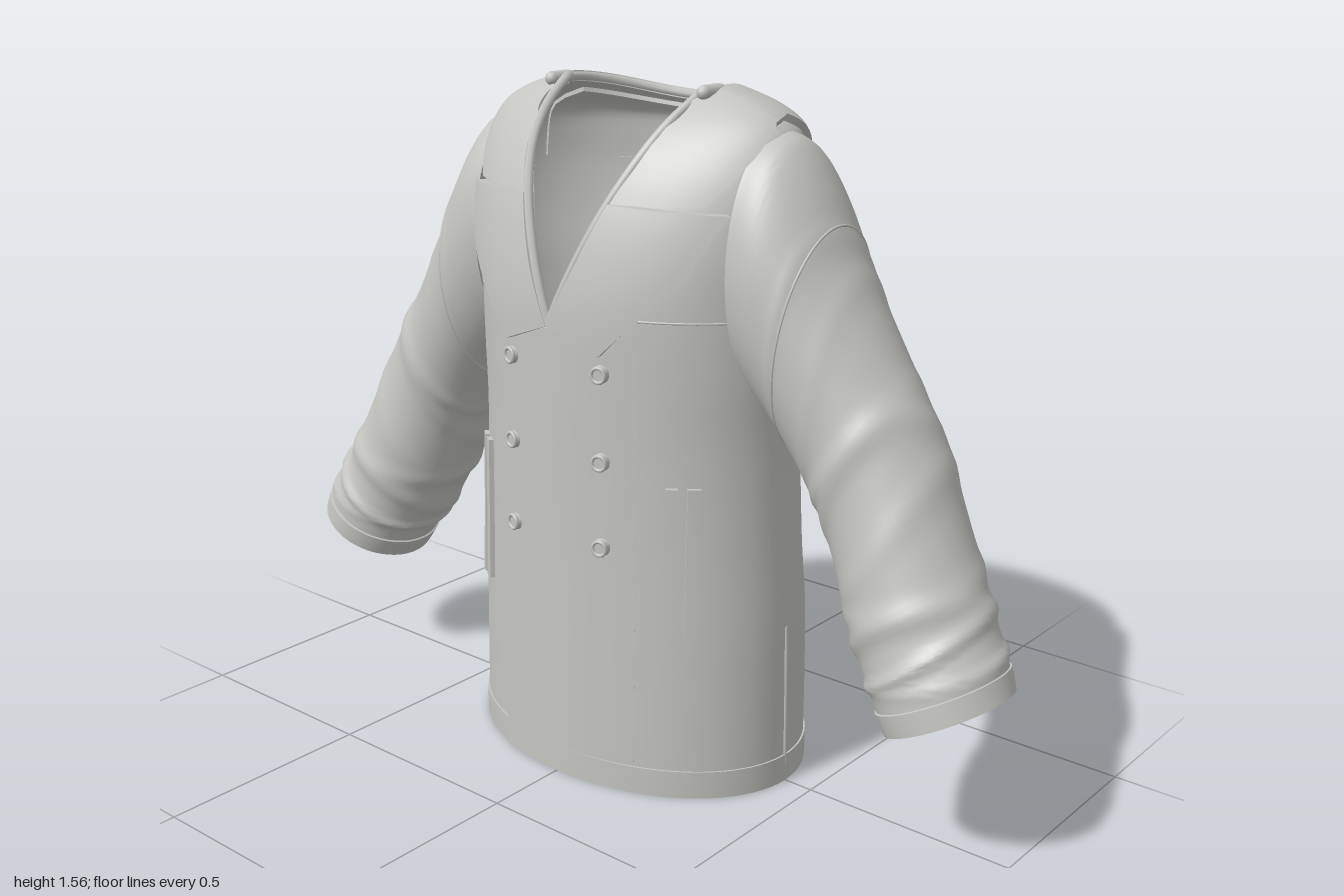
import * as THREE from 'three';
import { toCreasedNormals } from 'three/addons/utils/BufferGeometryUtils.js';

const cloth = new THREE.MeshStandardMaterial({ color: 0xc4c4c0, side: THREE.DoubleSide });
cloth.name = 'greyCloth';
const { lerp, smoothstep, clamp } = THREE.MathUtils;
const rad = Math.PI / 180;

// Table interpolation by fractional row index
const linear = (tab, t) => {
  const i = clamp(Math.floor(t), 0, tab.length - 2);
  return tab[i].map((a, c) => lerp(a, tab[i + 1][c], t - i));
};
const spline = (tab, t) => {
  const i = clamp(Math.floor(t), 0, tab.length - 2), f = t - i;
  const row = k => tab[clamp(k, 0, tab.length - 1)];
  return tab[i].map((p1, c) => {
    const p0 = row(i - 1)[c], p2 = row(i + 1)[c], p3 = row(i + 2)[c];
    return p1 + 0.5 * f * (p2 - p0 + f * (2 * p0 - 5 * p1 + 4 * p2 - p3 + f * (3 * (p1 - p2) + p3 - p0)));
  });
};

// Torso cross-sections: height, half width, front depth, back depth
const torsoTable = [
  [0, .425, .30, .31], [.07, .425, .30, .31], [.36, .42, .297, .31], [.55, .41, .295, .287],
  [.8, .40, .295, .277], [.95, .405, .295, .275], [1.1, .41, .292, .275], [1.22, .42, .272, .278],
  [1.33, .42, .237, .275], [1.42, .405, .187, .262], [1.47, .38, .14, .25], [1.5, .33, .1, .24],
  [1.52, .27, .07, .23], [1.535, .215, .045, .212]];
const TOP = 1.535, VEE = 1.06;
const rows = [];
for (let k = 0; k <= (torsoTable.length - 1) * 5; k++) rows.push(spline(torsoTable, k / 5));
function sectionAt(y) {
  let i = 0;
  while (i < rows.length - 2 && rows[i + 1][0] < y) i++;
  return linear(rows, i + clamp((y - rows[i][0]) / (rows[i + 1][0] - rows[i][0]), 0, 1));
}
// Point on the torso at an angle (0 = front) and height, pushed out by off
function surface(theta, y, off = 0) {
  const [, a, f, b] = sectionAt(y);
  const up = smoothstep(y, 1.38, TOP), out = off * (1 - up * 0.8), c = Math.cos(theta);
  const drop = 0.045 * smoothstep(y, 1.42, TOP) * Math.max(0, -c) ** 2;
  return new THREE.Vector3((a + out) * Math.sin(theta), y + off * up - drop, ((c > 0 ? f : b) + out) * c);
}
const angleOf = (x, y) => Math.asin(clamp(x / sectionAt(y)[1], -1, 1));
const veeAngle = y => y <= VEE ? 0 : angleOf(0.2 * (y - VEE) / (TOP - VEE), y);

// Grid mesh from a rule giving a point for each (i, j)
function sheet(name, nu, nv, point, crease = 0.8) {
  const pos = [], index = [];
  for (let j = 0; j <= nv; j++) for (let i = 0; i <= nu; i++) pos.push(...point(i, j).toArray());
  for (let j = 0; j < nv; j++) for (let i = 0; i < nu; i++) {
    const p = j * (nu + 1) + i, q = p + nu + 1;
    index.push(p, p + 1, q, p + 1, q + 1, q);
  }
  const geo = new THREE.BufferGeometry();
  geo.setAttribute('position', new THREE.Float32BufferAttribute(pos, 3));
  geo.setIndex(index);
  return named(name, toCreasedNormals(geo, crease));
}
function named(name, geo) {
  const mesh = new THREE.Mesh(geo, cloth);
  mesh.name = name;
  return mesh;
}
// Raised cloth panel lying on the torso, with its border turned down
function panel(name, nu, nv, rule, off, taper = 0) {
  return sheet(name, nu + 2, nv + 2, (i, j) => {
    const u = clamp((i - 1) / nu, 0, 1), v = clamp((j - 1) / nv, 0, 1);
    const edge = i === 0 || j === 0 || i === nu + 2 || j === nv + 2;
    const [theta, y] = rule(u, v);
    return surface(theta, y, edge ? -0.004 : off * (1 - taper * u));
  });
}
const patch = (name, x0, x1, y0, y1, off, taper) => panel(name, 8, 24, (u, v) => {
  const y = lerp(y0, y1, v);
  return [angleOf(lerp(x0, x1, u), y), y];
}, off, taper);
function piping(name, pts, r, closed = false) {
  return named(name, new THREE.TubeGeometry(new THREE.CatmullRomCurve3(pts, closed), pts.length * 2, r, 6, closed));
}
const range = (n, f) => Array.from({ length: n + 1 }, (_, i) => f(i / n));

// Sleeve sections: outer x, y, inner x, y, front z, back z
const sleeveTable = [
  [.36, 1.475, .36, .90, .165, -.2], [.42, 1.45, .40, .86, .17, -.2], [.485, 1.36, .43, .83, .165, -.19],
  [.56, 1.21, .47, .78, .155, -.178], [.655, 1.05, .52, .70, .142, -.17], [.755, .89, .565, .60, .143, -.163],
  [.845, .70, .61, .51, .165, -.15], [.915, .56, .665, .40, .18, -.125], [.96, .48, .705, .345, .193, -.105],
  [.995, .405, .745, .275, .198, -.09]];
const folds = [[2.6, .02], [3.4, .035], [4.2, .045], [4.8, .04], [5.6, .04], [6.3, .06], [6.85, .06], [7.35, .07], [7.85, .06]];
function sleevePoint(side, t, phi, scale = 1) {
  const [ox, oy, ix, iy, zf, zb] = spline(sleeveTable, t);
  let s = scale;
  folds.forEach(([at, amp], k) => {
    const d = (t + 0.3 * Math.sin(phi + k * 2.1) - at) / 0.17;
    s += amp * Math.exp(-d * d) * (0.65 + 0.35 * Math.cos(phi + k * 1.7));
  });
  const c = Math.cos(phi) * s / 2, n = Math.sin(phi) * s / 2;
  return new THREE.Vector3(side * ((ox + ix) / 2 + (ox - ix) * c), (oy + iy) / 2 + (oy - iy) * c, (zf + zb) / 2 + (zf - zb) * n);
}
function makeSleeve(side) {
  const g = new THREE.Group();
  g.name = side > 0 ? 'leftSleeve' : 'rightSleeve';
  const n = 90, ring = range(n, k => [k * 9, 1]);
  ring.push([9, 0.92], [8, 0.9], [6, 0.9]); // cuff rim and lining
  g.add(sheet('sleeveCloth', 48, ring.length - 1, (i, j) =>
    sleevePoint(side, ring[j][0], i / 48 * Math.PI * 2, ring[j][1])));
  const cuff = [[8.35, 0.99], [8.37, 1.03], [8.7, 1.02], [9, 1.01], [9, 0.92]];
  g.add(sheet('cuffBand', 48, 4, (i, j) => sleevePoint(side, cuff[j][0], i / 48 * Math.PI * 2, cuff[j][1])));
  g.add(piping('upperArmSeam', range(40, k => sleevePoint(side, 2.5, k * Math.PI * 2, 0.998)).slice(0, 40), 0.003, true));
  return g;
}

// Collar edges as angle and height, from the front notch to the centre back
const collarInner = [[15.6, 1.325], [26, 1.46], [39.5, 1.51], [68, TOP], [95, TOP], [118, TOP], [134, TOP], [146, TOP], [180, TOP]];
const collarOuter = [[46, 1.33], [60, 1.41], [70, 1.45], [82, 1.478], [100, 1.488], [118, 1.46], [132, 1.40], [141, 1.335], [180, 1.33]];
// Lapel rows: inner x, y, outer x, y
const lapelRows = [[0, 1.06, .125, 1.01], [.06, 1.19, .285, 1.18], [.113, 1.325, .345, 1.315]];

export function createModel() {
  const coat = new THREE.Group();
  coat.name = 'coat';

  // Torso shell, open at the neck, with a turned-in hem
  const levels = [[.5, -.022], [0, -.022], ...rows.map(r => [r[0], 0])];
  coat.add(sheet('torso', 96, levels.length - 1, (i, j) => {
    const [y, off] = levels[j], t0 = veeAngle(y);
    return surface(lerp(t0, Math.PI * 2 - t0, i / 96), y, off);
  }));
  coat.add(panel('hemBand', 96, 3, (u, v) => [u * Math.PI * 2, v * 0.065], 0.004));
  coat.add(patch('frontOverlap', -.175, .2, 0.002, 1.05, 0.009, 1));
  coat.add(panel('neckFacing', 24, 8, (u, v) => [lerp(112, 248, u) * rad, lerp(1.34, 1.52, v)], -0.014));

  // Wide collar, running over the shoulders and down the back
  coat.add(panel('collar', 96, 12, (u, v) => {
    const s = u * 2 - 1, t = (1 - Math.abs(s)) * (collarInner.length - 1);
    const p = linear(collarInner, t), q = linear(collarOuter, t);
    const deg = lerp(p[0], q[0], v);
    return [(s < 0 ? deg : 360 - deg) * rad, lerp(p[1], q[1], v)];
  }, 0.02));

  for (const side of [1, -1]) {
    const word = side > 0 ? 'left' : 'right';
    coat.add(makeSleeve(side));
    coat.add(panel(word + 'Lapel', 10, 16, (u, v) => {
      const [xi, yi, xo, yo] = linear(lapelRows, v * 2);
      const y = lerp(yi, yo, u);
      return [angleOf(side * lerp(xi, xo, u), y), y];
    }, 0.024));
    // Pocket welts
    for (const x of [.268, .306]) coat.add(patch(word + 'PocketWelt', side * (x - .011), side * (x + .011), .39, .73, 0.011));
    // Side vent seam
    coat.add(piping(word + 'SideSeam', range(10, k => surface(side * Math.PI / 2, lerp(.04, .38, k), 0.001)), 0.004));
    // Rolled collar end at the shoulder
    const roll = named(word + 'CollarRoll', new THREE.CapsuleGeometry(0.016, 0.05, 4, 10));
    roll.position.set(side * 0.215, 1.543, 0.03);
    roll.rotation.x = Math.PI / 2;
    coat.add(roll);
    // Buttons with raised rims
    for (const y of [.97, .775, .58]) {
      const button = new THREE.Group();
      button.name = word + 'Button';
      const disc = named('buttonDisc', new THREE.CylinderGeometry(0.018, 0.02, 0.014, 20));
      disc.rotation.x = Math.PI / 2;
      const rim = named('buttonRim', new THREE.TorusGeometry(0.016, 0.004, 8, 20));
      rim.position.z = 0.007;
      button.add(disc, rim);
      button.position.copy(surface(angleOf(side * 0.125, y), y, 0.01));
      button.rotation.y = side * 0.23;
      coat.add(button);
    }
  }

  // Neckline edge, from the bottom of the opening round the back of the neck
  const edge = range(12, k => { const y = lerp(VEE, TOP, k); return surface(veeAngle(y), y, 0.012); });
  const t0 = veeAngle(TOP);
  const neck = range(24, k => surface(lerp(t0, Math.PI * 2 - t0, k), TOP, 0.008)).slice(1, -1);
  const mirrored = edge.map(p => new THREE.Vector3(-p.x, p.y, p.z)).reverse();
  coat.add(piping('necklineEdge', [...edge, ...neck, ...mirrored], 0.011));

  // Stitched seams
  coat.add(piping('backSeam', range(24, k => surface(Math.PI, lerp(.06, 1.33, k), 0)), 0.004));
  coat.add(piping('chestSeam', range(24, k => surface(lerp(-68, 68, k) * rad, 1.09, -0.001)), 0.003));
  return coat;
}
